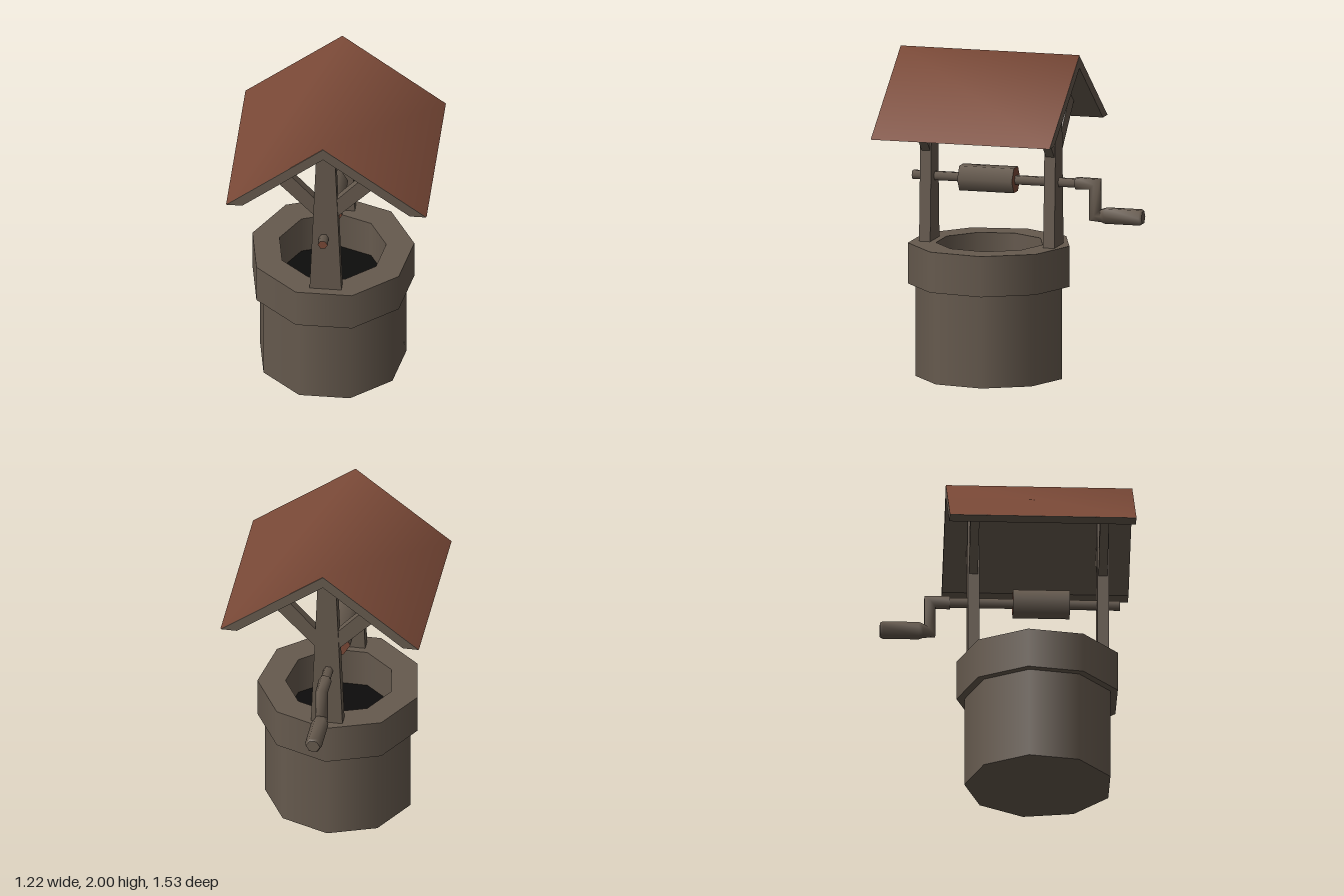
import * as THREE from 'three';

const SIDES = 9;      // well masonry sides
const CX = -0.02;     // post / ridge centre in x
const CZ = 0.2;       // well centre in z
const AX = -0.03;     // axle x
const AY = 1.21;      // axle height

export function createModel() {
  const brown = new THREE.MeshStandardMaterial({ color: 0x665a4e });
  brown.name = 'weatheredBrown';
  const red = new THREE.MeshStandardMaterial({ color: 0x7a4937 });
  red.name = 'roofRed';
  const dark = new THREE.MeshStandardMaterial({ color: 0x0d0c0b });
  dark.name = 'shaftBlack';

  const model = new THREE.Group();
  model.name = 'waterWell';
  const add = (name, geometry, material) => {
    const mesh = new THREE.Mesh(geometry, material);
    mesh.name = name;
    model.add(mesh);
    return mesh;
  };

  // Nine-sided turned part; doubled profile points keep an edge sharp
  const turned = (name, profile) => {
    const points = profile.map(([x, y]) => new THREE.Vector2(x, y));
    add(name, new THREE.LatheGeometry(points, SIDES, Math.PI), brown).position.set(-0.025, 0, CZ);
  };

  // Flat outline in the xy plane, given thickness around z
  const slab = (name, outline, z, depth) => {
    const shape = new THREE.Shape(outline.map(([x, y]) => new THREE.Vector2(x, y)));
    const geometry = new THREE.ExtrudeGeometry(shape, { depth, bevelEnabled: false });
    add(name, geometry.translate(0, 0, z - depth / 2), brown);
  };

  // Six-sided rod along z with red ends
  const rod = (name, radius, zFront, zBack) => {
    const geometry = new THREE.CylinderGeometry(radius, radius, zFront - zBack, 6);
    geometry.rotateY(Math.PI / 6).rotateX(Math.PI / 2);
    add(name, geometry, [brown, red, red]).position.set(AX, AY, (zFront + zBack) / 2);
  };

  // Well body, rim and dark shaft
  turned('wellBase', [[0, 0], [0.453, 0], [0.453, 0], [0.453, 0.57]]);
  turned('wellRim', [
    [0.33, 0.57], [0.5, 0.57], [0.5, 0.57], [0.5, 0.82], [0.5, 0.82],
    [0.33, 0.82], [0.33, 0.82], [0.33, 0.57],
  ]);
  const floor = new THREE.CircleGeometry(0.33, SIDES, Math.PI / 2).rotateX(-Math.PI / 2);
  add('shaftFloor', floor, dark).position.set(-0.025, 0.575, CZ);

  // Tapered posts with a brace on each side
  for (const [side, z] of [['front', 0.585], ['back', -0.2]]) {
    slab(side + 'Post', [
      [CX - 0.097, 0.82], [CX + 0.097, 0.82], [CX + 0.054, 1.9], [CX, 1.94], [CX - 0.054, 1.9],
    ], z, 0.07);
    for (const s of [-1, 1]) {
      slab(side + (s > 0 ? 'Left' : 'Right') + 'Brace', [
        [CX + s * 0.04, 1.34], [CX + s * 0.35, 1.665], [CX + s * 0.27, 1.725], [CX + s * 0.04, 1.47],
      ], z - 0.001, 0.054);
    }
  }

  // Roof frame, with a thin red covering whose ridge is shaded smoothly
  slab('roofFrame', [
    [-0.608, 1.53], [CX, 1.996], [0.608, 1.53], [0.508, 1.53], [CX, 1.92], [-0.512, 1.53],
  ], CZ, 1.13);
  const cover = new THREE.BufferGeometry();
  const corners = [];
  for (const z of [0.765, -0.365]) corners.push(-0.61, 1.532, z, CX, 2, z, 0.61, 1.532, z);
  cover.setAttribute('position', new THREE.Float32BufferAttribute(corners, 3));
  cover.setIndex([0, 1, 4, 0, 4, 3, 1, 2, 5, 1, 5, 4]);
  cover.computeVertexNormals();
  add('roofCover', cover, red);

  // Axle and rope drum
  rod('axle', 0.03, 0.69, -0.36);
  rod('ropeDrum', 0.087, 0.385, 0.04);

  // Crank: hexagonal rings [z, y, radius, section direction y, z] along a mitred path
  const rings = [
    [-0.34, AY, 0.04, 1, 0], [-0.462, AY, 0.038, 1, -1], [-0.462, 1.02, 0.038, 1, -1],
    [-0.505, 1.02, 0.044, 1, 0], [-0.53, 1.02, 0.053, 1, 0],
    [-0.75, 1.02, 0.053, 1, 0], [-0.765, 1.02, 0.043, 1, 0],
  ];
  const positions = [];
  const index = [];
  rings.forEach(([z, y, r, vy, vz], i) => {
    for (let j = 0; j < 6; j++) {
      const c = Math.cos(j * Math.PI / 3) * r;
      const s = Math.sin(j * Math.PI / 3) * r;
      positions.push(AX + c, y + s * vy, z + s * vz);
      if (i === rings.length - 1) continue;
      const a = i * 6 + j;
      const b = i * 6 + (j + 1) % 6;
      index.push(a, a + 6, b, b, a + 6, b + 6);
    }
  });
  const crank = new THREE.BufferGeometry();
  crank.setAttribute('position', new THREE.Float32BufferAttribute(positions, 3));
  crank.setIndex(index);
  crank.computeVertexNormals();
  add('crank', crank, brown);
  add('crankCollar', new THREE.CircleGeometry(0.04, 6), red).position.set(AX, AY, -0.34);
  const gripEnd = new THREE.CircleGeometry(0.043, 6).rotateY(Math.PI);
  add('gripEnd', gripEnd, brown).position.set(AX, 1.02, -0.765);

  return model;
}
